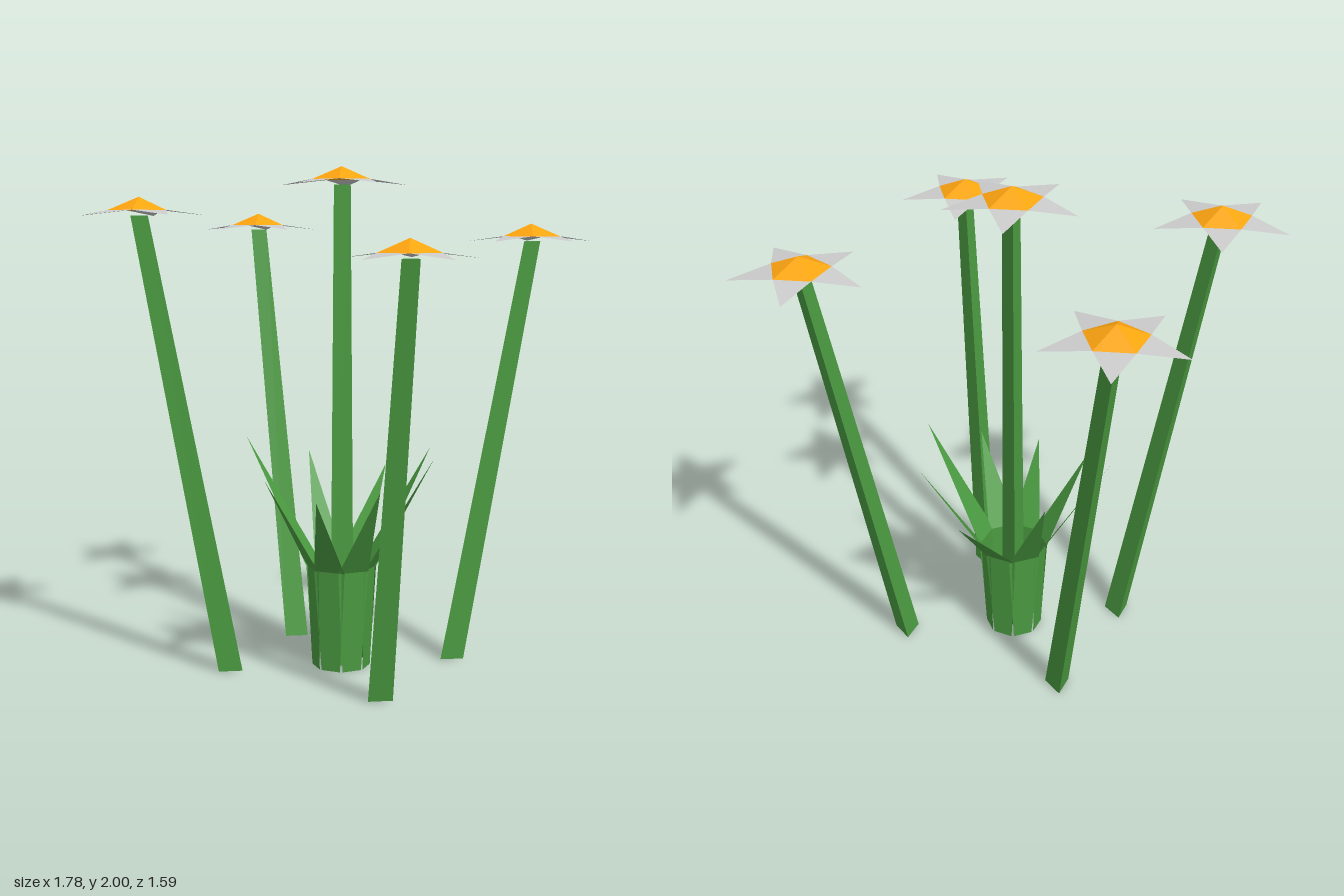
import * as THREE from 'three';

const mat = (color) => new THREE.MeshStandardMaterial({ color, flatShading: true, side: THREE.DoubleSide });
const green = mat(0x4a9a40), orange = mat(0xffa510), grey = mat(0xcccccc);

function triangles(points) {
  const g = new THREE.BufferGeometry();
  g.setAttribute('position', new THREE.Float32BufferAttribute(points.flat(), 3));
  g.computeVertexNormals();
  return g;
}

function part(name, geometry, material) {
  const mesh = new THREE.Mesh(geometry, material);
  mesh.name = name;
  return mesh;
}

// Three-sided stem, sheared so both ends stay level
function stem([bx, bz], [tx, ty, tz]) {
  const g = new THREE.CylinderGeometry(0.038, 0.055, ty, 3, 1, false, Math.PI / 2);
  g.translate(0, ty / 2, 0);
  const p = g.attributes.position;
  for (let i = 0; i < p.count; i++) {
    const t = p.getY(i) / ty;
    p.setX(i, p.getX(i) + bx + (tx - bx) * t);
    p.setZ(i, p.getZ(i) + bz + (tz - bz) * t);
  }
  g.computeVertexNormals();
  return part('stem', g, green);
}

// Five drooping petals, one on each edge of the flower centre
function petals() {
  const at = (k, r, y) => [r * Math.cos(k * Math.PI * 0.4), y, -r * Math.sin(k * Math.PI * 0.4)];
  const pts = [];
  for (let k = 0; k < 5; k++) pts.push(at(k, 0.118, -0.05), at(k + 0.5, 0.26, -0.07), at(k + 1, 0.118, -0.05));
  return part('petals', triangles(pts), grey);
}

function flower(base, [x, y, z]) {
  const group = new THREE.Group();
  group.name = 'flower';
  const head = new THREE.Group();
  head.name = 'flowerHead';
  const cone = new THREE.ConeGeometry(0.118, 0.05, 5, 1, true, Math.PI / 2);
  cone.translate(0, -0.025, 0);
  head.add(part('flowerCentre', cone, orange), petals());
  head.position.set(x, y, z);
  group.add(stem(base, [x, y - 0.07, z]), head);
  return group;
}

// Leaf: an upright blade that widens, then bends outward to a point
function leaf(tip, angle) {
  const row = (r, w, y, s) => [
    0.03 + r * Math.cos(angle) - s * w * Math.sin(angle), y,
    -0.04 + r * Math.sin(angle) + s * w * Math.cos(angle)];
  const a = row(0.11, 0.04, 0, 1), b = row(0.11, 0.04, 0, -1);
  const c = row(0.125, 0.065, 0.41, 1), d = row(0.125, 0.065, 0.41, -1);
  return part('leaf', triangles([a, b, d, a, d, c, c, d, tip]), green);
}

export function createModel() {
  const model = new THREE.Group();
  model.name = 'flowerClump';

  // Stem base (x, z) and flower apex (x, y, z)
  const flowers = [
    [[0.03, -0.04], [0.03, 2.0, -0.04]],
    [[-0.305, -0.338], [-0.575, 1.825, -0.55]],
    [[0.417, -0.292], [0.678, 1.78, -0.463]],
    [[-0.355, 0.2], [-0.63, 1.88, 0.38]],
    [[0.322, 0.293], [0.52, 1.73, 0.547]],
  ];
  for (const [base, apex] of flowers) model.add(flower(base, apex));

  // Ring of eight leaves, listed by tip
  const tips = [
    [0.43, 0.88, -0.01], [0.28, 0.77, 0.18], [0.06, 0.73, 0.285], [-0.2, 0.78, 0.19],
    [-0.385, 0.915, -0.03], [-0.23, 0.83, -0.31], [0.06, 0.76, -0.47], [0.31, 0.87, -0.315],
  ];
  const leaves = new THREE.Group();
  leaves.name = 'leaves';
  tips.forEach((tip, i) => leaves.add(leaf(tip, i * Math.PI / 4)));
  model.add(leaves);
  return model;
}
